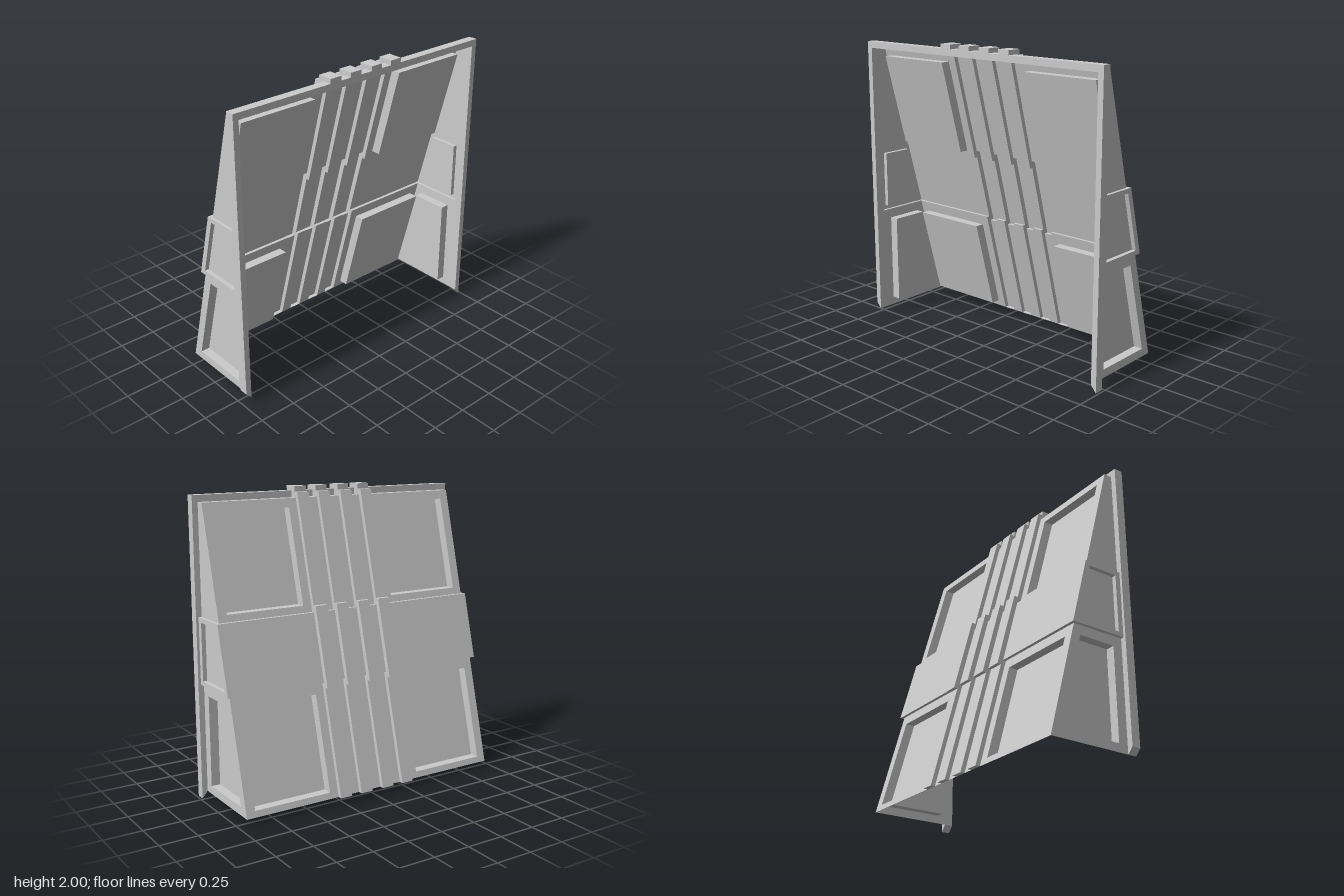
import * as THREE from 'three';

const mat = new THREE.MeshStandardMaterial({ color: 0xcccccc, flatShading: true, side: THREE.DoubleSide });

const BOTTOM = 0.045, TOP = 1.927, BACK = 0.265, SIDE = 0.947, MID_SIDE = 0.968;
const MID_LOW = 0.77, MID_HIGH = 1.21, MID_OUT = -0.022, RIB_OUT = -0.03, RECESS = 0.065;

// x of the leaning wall at height y (15 degree lean)
const lean = (y) => -0.295 + Math.tan(Math.PI / 12) * (y - BOTTOM);

function mesh(name, geometry) {
  const m = new THREE.Mesh(geometry, mat);
  m.name = name;
  return m;
}

// flat-shaded quads, each given as four [x, y, z] corners
function quadGeometry(quads) {
  const pos = quads.flatMap(([a, b, c, d]) => [a, b, c, a, c, d].flat());
  const g = new THREE.BufferGeometry();
  g.setAttribute('position', new THREE.Float32BufferAttribute(pos, 3));
  g.computeVertexNormals();
  return g;
}

const isRib = (a) => (a > 0.042 && a < 0.127) || (a > 0.201 && a < 0.286);

// offset of the leaning sheet along x; null where there is no sheet
function offset(z, y) {
  const a = Math.abs(z);
  const mid = y > MID_LOW && y < MID_HIGH;
  if (y < BOTTOM || y > TOP) return 0;
  if (a > SIDE) return mid && a < MID_SIDE ? MID_OUT : null;
  if (isRib(a)) return y > 0.74 && y < 1.255 ? RIB_OUT - 0.027 : RIB_OUT;
  if (mid) return MID_OUT;
  const inRows = (y > 0.085 && y < 0.7) || (y > 1.255 && y < 1.87);
  return inRows && a > 0.345 && a < 0.885 ? RECESS : 0;
}

// leaning wall: a stepped sheet of cells, with walls wherever the offset changes
function leaningWall() {
  const half = [0.042, 0.127, 0.201, 0.286, 0.345, 0.885, SIDE, MID_SIDE];
  const zs = [...half.map((z) => -z).reverse(), ...half];
  const ys = [BOTTOM, 0.085, 0.7, 0.74, MID_LOW, MID_HIGH, 1.255, 1.87, TOP];
  const quads = [];
  const at = (y, z, d) => [lean(y) + d, y, z];
  const e = 0.001;
  for (let i = 0; i < zs.length - 1; i++) {
    const z0 = zs[i], z1 = zs[i + 1], zc = (z0 + z1) / 2;
    for (let j = 0; j < ys.length - 1; j++) {
      const y0 = ys[j], y1 = ys[j + 1], yc = (y0 + y1) / 2;
      const d = offset(zc, yc);
      if (d === null) continue;
      quads.push([at(y0, z0, d), at(y0, z1, d), at(y1, z1, d), at(y1, z0, d)]);
      const zNext = offset(z1 + e, yc);
      if (zNext !== null && zNext !== d) {
        quads.push([at(y0, z1, d), at(y0, z1, zNext), at(y1, z1, zNext), at(y1, z1, d)]);
      }
      const yNext = offset(zc, y1 + e);
      if (yNext !== null && yNext !== d) {
        quads.push([at(y1, z0, d), at(y1, z1, d), at(y1, z1, yNext), at(y1, z0, yNext)]);
      }
      // closes the lower ends of the ribs
      if (j === 0 && d !== 0) {
        quads.push([at(y0, z0, 0), at(y0, z1, 0), at(y0, z1, d), at(y0, z0, d)]);
      }
    }
  }
  return mesh('leaningWall', quadGeometry(quads));
}

const toShape = (pts) => new THREE.Shape(pts.map((p) => new THREE.Vector2(...p)));

// band joining one outline at depths z0 and z1
function rim(name, pts, z0, z1) {
  return mesh(name, quadGeometry(pts.map((p, i) => {
    const q = pts[(i + 1) % pts.length];
    return [[...p, z0], [...q, z0], [...q, z1], [...p, z1]];
  })));
}

// side sheet with an optional sunken panel
function sidePanel(name, outline, z, hole, depth) {
  const g = new THREE.Group();
  g.name = name;
  const shape = toShape(outline);
  if (hole) {
    shape.holes.push(new THREE.Path(hole.map((p) => new THREE.Vector2(...p))));
    const zIn = z - Math.sign(z) * depth;
    g.add(mesh('sunkenPanel', new THREE.ShapeGeometry(toShape(hole)).translate(0, 0, zIn)));
    g.add(rim('recessWalls', hole, z, zIn));
  }
  g.add(mesh('sideSheet', new THREE.ShapeGeometry(shape).translate(0, 0, z)));
  return g;
}

function sideWall(s) {
  const g = new THREE.Group();
  g.name = s > 0 ? 'frontSideWall' : 'backSideWall';
  const trapezoid = (y0, y1, out, back) => [[lean(y0) + out, y0], [back, y0], [back, y1], [lean(y1) + out, y1]];
  const middle = trapezoid(MID_LOW, MID_HIGH, MID_OUT, BACK);
  g.add(
    sidePanel('lowerSide', trapezoid(BOTTOM, MID_LOW, 0, BACK), s * SIDE, trapezoid(0.1, 0.705, 0.062, 0.2), 0.06),
    sidePanel('middleSide', middle, s * MID_SIDE, trapezoid(0.8, 1.18, 0.016, 0.23), 0.028),
    rim('middleSideRim', middle, s * SIDE, s * MID_SIDE),
    sidePanel('upperSide', trapezoid(MID_HIGH, TOP, 0, BACK), s * SIDE),
  );
  return g;
}

// frame round the open face, with mitred lower ends
function openingFrame() {
  const shape = toShape([
    [0.985, 0.085], [0.985, 1.97], [-0.985, 1.97], [-0.985, 0],
    [-SIDE, BOTTOM], [-SIDE, TOP], [SIDE, TOP], [SIDE, BOTTOM],
  ]);
  const geo = new THREE.ExtrudeGeometry(shape, { depth: 0.06, bevelEnabled: false });
  return mesh('openingFrame', geo.rotateY(-Math.PI / 2).translate(0.325, 0, 0));
}

// stepped end of a rib, hooked over the roof and the frame
function ribCap(z) {
  const shape = toShape([
    [lean(TOP) + RIB_OUT, TOP], [BACK, TOP], [BACK, 1.97], [0.325, 1.97], [0.325, 2],
    [0.225, 2], [0.225, 1.965], [lean(1.965) + RIB_OUT, 1.965],
  ]);
  const geo = new THREE.ExtrudeGeometry(shape, { depth: 0.085, bevelEnabled: false });
  return mesh('ribCap', geo.translate(0, 0, z - 0.0425));
}

export function createModel() {
  const model = new THREE.Group();
  model.name = 'buttressShell';
  const x = lean(TOP);
  const roof = quadGeometry([[[x, TOP, -SIDE], [x, TOP, SIDE], [BACK, TOP, SIDE], [BACK, TOP, -SIDE]]]);
  model.add(leaningWall(), sideWall(1), sideWall(-1), mesh('roofStrip', roof), openingFrame());
  for (const z of [-0.2435, -0.0845, 0.0845, 0.2435]) model.add(ribCap(z));
  return model;
}
